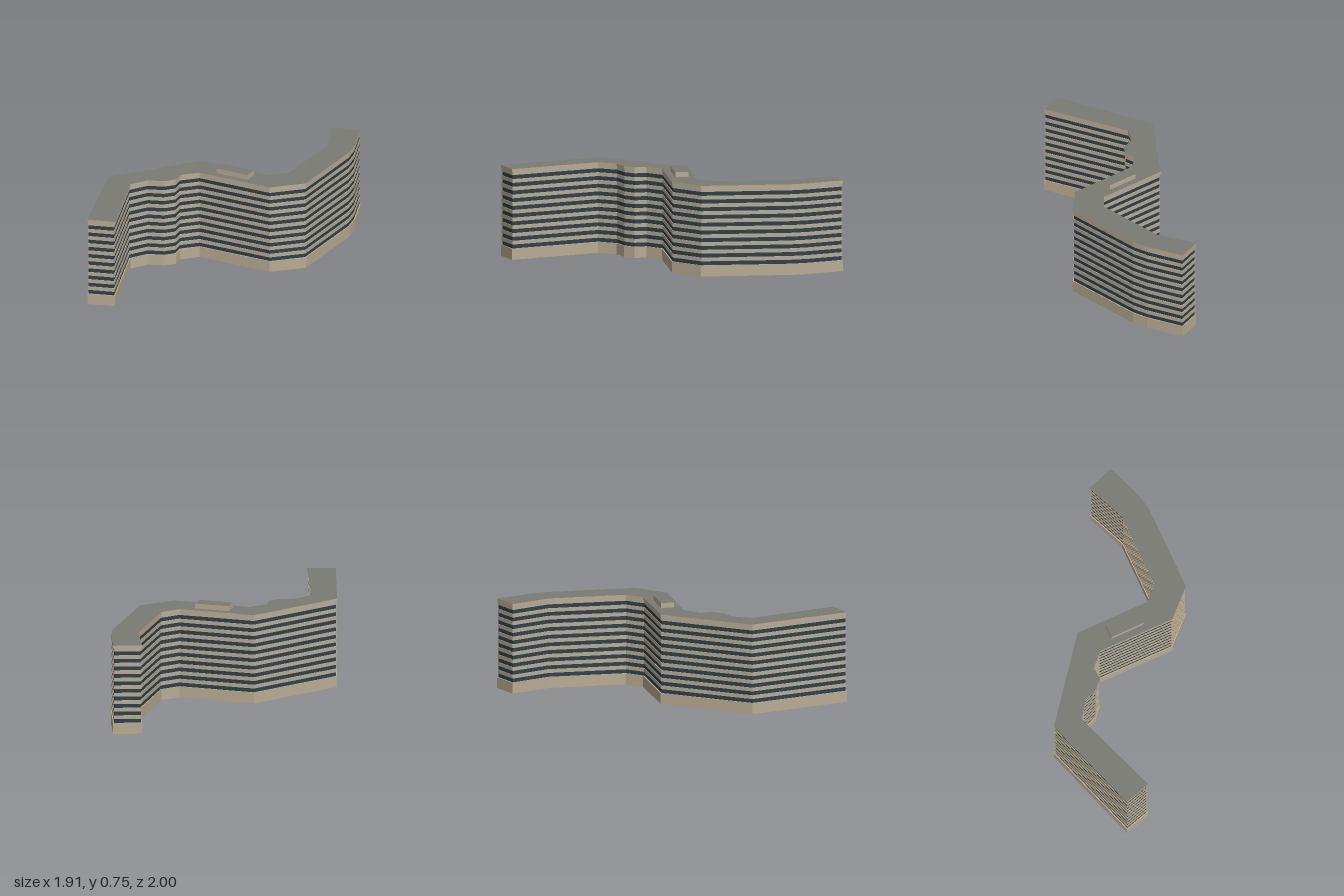
import * as THREE from 'three';

const concrete = new THREE.MeshStandardMaterial({ name: 'beige concrete', color: 0xb9ac93 });
const glass = new THREE.MeshStandardMaterial({ name: 'dark blue glass', color: 0x2e404d });
const roofing = new THREE.MeshStandardMaterial({ name: 'grey roofing', color: 0x7b7b75 });

// Zigzag floor plan as x, z corners
const plan = [
  [0.73, -1.0], [0.955, -0.99], [0.943, -0.68], [0.915, -0.545], [0.645, 0.095],
  [0.375, 0.203], [-0.195, -0.025], [-0.335, 0.035], [-0.36, 0.125], [-0.45, 0.17],
  [-0.575, 0.165], [-0.703, 0.257], [-0.743, 0.995], [-0.96, 0.975], [-0.89, 0.135],
  [-0.208, -0.256], [0.35, -0.035], [0.495, -0.1], [0.73, -0.66],
];
const penthousePlan = [[-0.025, -0.127], [0.227, -0.025], [0.19, 0.07], [-0.065, -0.03]];

// Moves every wall of a plan inward by d, with mitred corners
function inset(points, d) {
  const n = points.length;
  return points.map((p, i) => {
    const a = points[(i + n - 1) % n], b = points[(i + 1) % n];
    const inward = (s, e) => new THREE.Vector2(s[1] - e[1], e[0] - s[0]).normalize();
    const n1 = inward(a, p), n2 = inward(p, b);
    const m = n1.clone().add(n2).multiplyScalar(d / (1 + n1.dot(n2)));
    return [p[0] + m.x, p[1] + m.y];
  });
}

// Upright slab over a plan between two heights
function slab(name, points, y0, y1, lid, side) {
  const shape = new THREE.Shape(points.map(([x, z]) => new THREE.Vector2(x, -z)));
  const geometry = new THREE.ExtrudeGeometry(shape, { depth: y1 - y0, bevelEnabled: false });
  geometry.rotateX(-Math.PI / 2).translate(0, y0, 0);
  const mesh = new THREE.Mesh(geometry, [lid, side]);
  mesh.name = name;
  return mesh;
}

export function createModel() {
  const building = new THREE.Group();
  building.name = 'apartmentBlock';
  const wallPlan = inset(plan, 0.005);
  const windowPlan = inset(plan, 0.009);

  building.add(slab('groundFloor', plan, 0, 0.087, concrete, concrete));

  // Ten storeys: a window band, then a concrete band above it
  const storeys = 10, pitch = 0.0605, windowHeight = 0.031;
  for (let i = 0; i < storeys; i++) {
    const y = 0.087 + i * pitch;
    const top = i === storeys - 1 ? 0.693 : y + pitch;
    building.add(slab('windowBand', windowPlan, y, y + windowHeight, glass, glass));
    building.add(slab('wallBand', wallPlan, y + windowHeight, top, concrete, concrete));
  }

  // Roof slab and the small plant room on it
  building.add(slab('roof', plan, 0.693, 0.711, roofing, concrete));
  building.add(slab('plantRoom', penthousePlan, 0.711, 0.75, roofing, concrete));
  return building;
}
